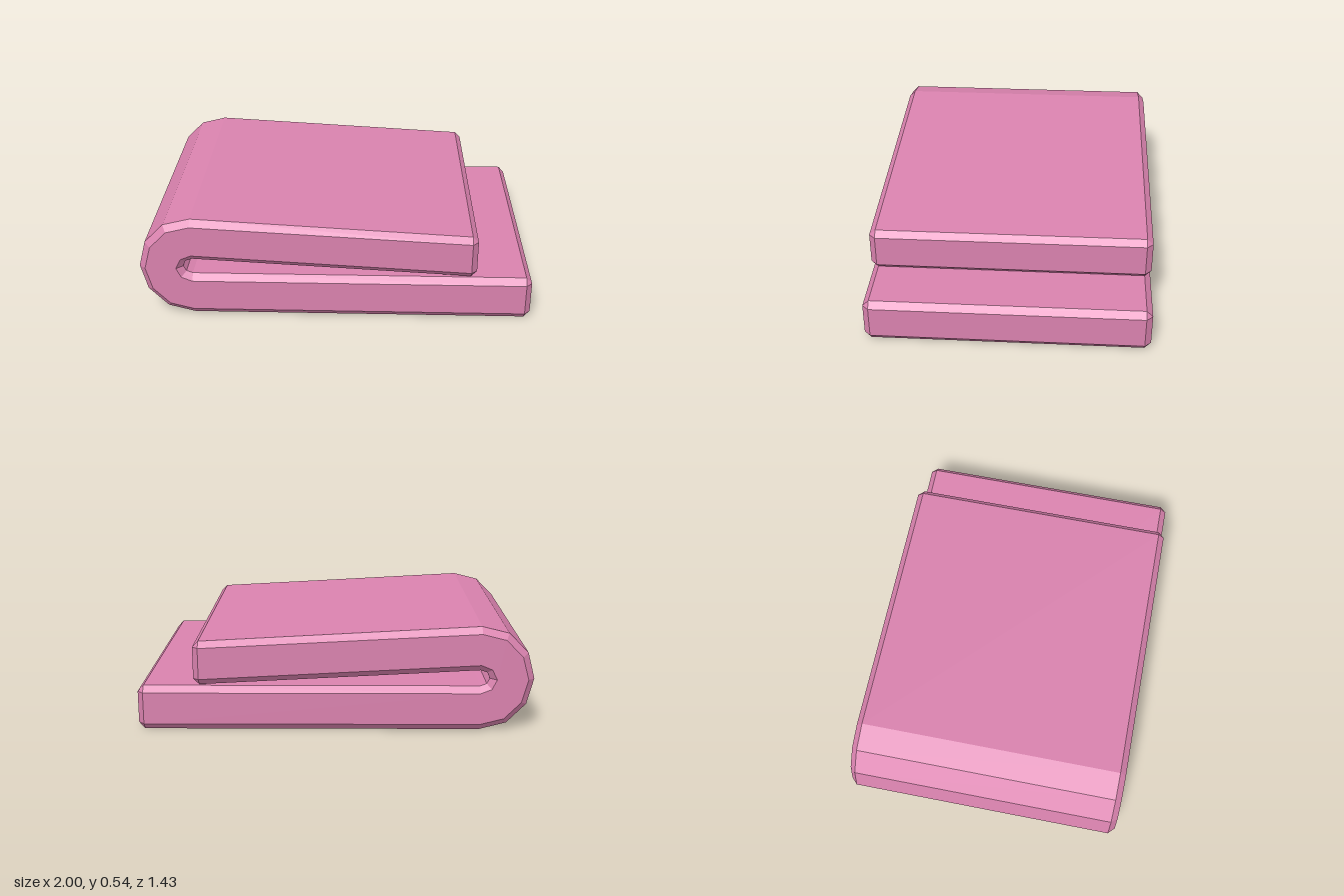
import * as THREE from 'three';

// Folded-sheet section, counter-clockwise: [outline x, outline y, chamfered face x, face y]
const SECTION = [
  // free end of the lower leaf
  [0.97, 0, 0.97, 0.035], [1, 0.035, 0.97, 0.035], [1, 0.198, 0.97, 0.198], [0.97, 0.23, 0.97, 0.198],
  // inside of the fold
  [-0.73, 0.23, -0.73, 0.198], [-0.762, 0.242, -0.785, 0.22], [-0.777, 0.27, -0.81, 0.27],
  [-0.764, 0.3, -0.785, 0.322], [-0.73, 0.312, -0.73, 0.345],
  // free end of the upper leaf
  [0.687, 0.236, 0.687, 0.269], [0.717, 0.266, 0.687, 0.269], [0.717, 0.43, 0.687, 0.43], [0.687, 0.46, 0.687, 0.43],
  // outside of the fold
  [-0.73, 0.538, -0.73, 0.505], [-0.867, 0.504, -0.85, 0.475], [-0.965, 0.405, -0.935, 0.388],
  [-1, 0.27, -0.967, 0.27], [-0.965, 0.136, -0.935, 0.152], [-0.867, 0.036, -0.85, 0.066], [-0.73, 0, -0.73, 0.035],
];
const HALF_DEPTH = 0.717;
const CHAMFER = 0.032;

function foldedSlab() {
  const pos = [];
  const tri = (a, b, c) => {
    if (a.distanceTo(b) > 1e-5 && b.distanceTo(c) > 1e-5 && c.distanceTo(a) > 1e-5) {
      for (const p of [a, b, c]) pos.push(p.x, p.y, p.z);
    }
  };
  const outline = (z) => SECTION.map((p) => new THREE.Vector3(p[0], p[1], z));
  const face = (z) => SECTION.map((p) => new THREE.Vector3(p[2], p[3], z));
  const rings = [
    face(HALF_DEPTH), outline(HALF_DEPTH - CHAMFER),
    outline(CHAMFER - HALF_DEPTH), face(-HALF_DEPTH),
  ];

  // chamfers and the long surfaces between them
  for (let r = 0; r < rings.length - 1; r++) {
    const f = rings[r], b = rings[r + 1];
    for (let i = 0; i < f.length; i++) {
      const j = (i + 1) % f.length;
      tri(f[i], b[i], b[j]);
      tri(f[i], b[j], f[j]);
    }
  }

  // front and back end faces
  const keep = SECTION.map((_, i) => i).filter((i) =>
    i === 0 || rings[0][i].distanceTo(rings[0][i - 1]) > 1e-5);
  const flat = keep.map((i) => new THREE.Vector2(SECTION[i][2], SECTION[i][3]));
  for (const [a, b, c] of THREE.ShapeUtils.triangulateShape(flat, [])) {
    const [i, j, k] = [keep[a], keep[b], keep[c]];
    tri(rings[0][i], rings[0][j], rings[0][k]);
    tri(rings[3][i], rings[3][k], rings[3][j]);
  }

  const geometry = new THREE.BufferGeometry();
  geometry.setAttribute('position', new THREE.Float32BufferAttribute(pos, 3));
  geometry.computeVertexNormals();
  return geometry;
}

export function createModel() {
  const group = new THREE.Group();
  group.name = 'foldedCloth';
  const pink = new THREE.MeshStandardMaterial({ color: 0xd982ae, flatShading: true });
  pink.name = 'pink';
  const slab = new THREE.Mesh(foldedSlab(), pink);
  slab.name = 'foldedSheet';
  group.add(slab);
  return group;
}
